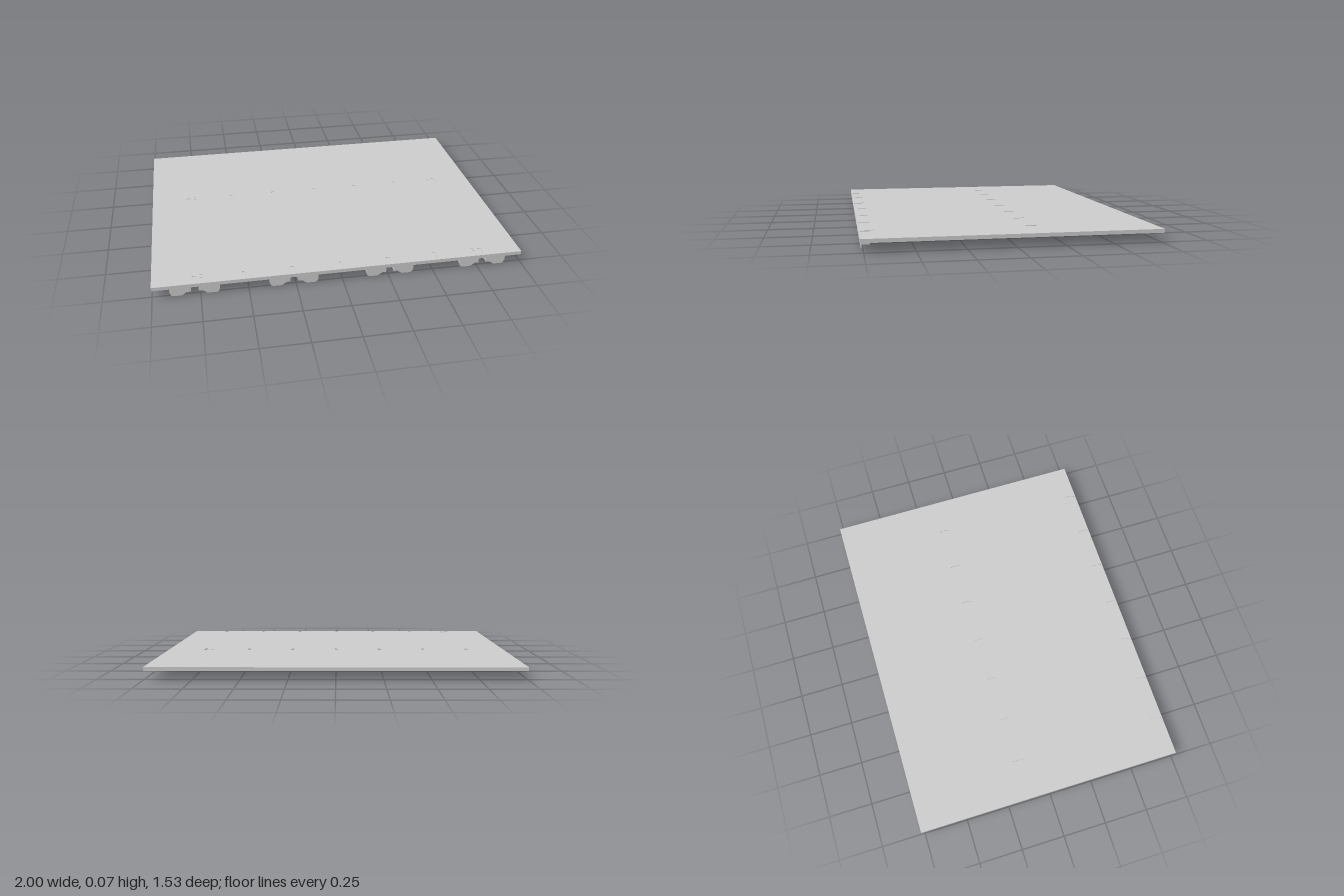
import * as THREE from 'three';

const W = 1, D = 0.767, TOP = 0.068, BOTTOM = 0.048, T = 0.004;
const material = new THREE.MeshStandardMaterial({ color: 0xcccccc });

function add(parent, name, geometry, x = 0, y = 0, z = 0) {
  const mesh = new THREE.Mesh(geometry, material);
  mesh.name = name;
  mesh.position.set(x, y, z);
  parent.add(mesh);
  return mesh;
}

function box(parent, name, x0, x1, y0, y1, z0, z1) {
  return add(parent, name, new THREE.BoxGeometry(x1 - x0, y1 - y0, z1 - z0),
    (x0 + x1) / 2, (y0 + y1) / 2, (z0 + z1) / 2);
}

// Closed rectangle in plan (shape y becomes z)
function rect(Type, x0, x1, z0, z1) {
  return new Type([[x0, z0], [x1, z0], [x1, z1], [x0, z1]].map(p => new THREE.Vector2(...p)));
}

// Flat sheet that hangs down from its own origin
function sheet(shape, depth) {
  return new THREE.ExtrudeGeometry(shape, { depth, bevelEnabled: false, curveSegments: 8 }).rotateX(Math.PI / 2);
}

// Slot with a rounded back end of radius r1 and front end of radius r2
function slot(x, zBack, zFront, r1, r2) {
  const path = new THREE.Path();
  path.absarc(x, zBack + r1, r1, Math.PI, 2 * Math.PI, false);
  if (r1 > r2) path.lineTo(x + r1, zBack + r1 * 2);
  path.absarc(x, zFront - r2, r2, 0, Math.PI, false);
  if (r1 > r2) path.lineTo(x - r1, zBack + r1 * 2);
  path.closePath();
  return path;
}

function rim(width) {
  const shape = rect(THREE.Shape, -W, W, -D, D);
  shape.holes.push(rect(THREE.Path, -W + width, W - width, -D + width, D - width));
  return shape;
}

// One hanging hook: stepped front plate with a bent side flange
function hook(side) {
  const group = new THREE.Group();
  group.name = 'hook';
  const outline = [[0.02, BOTTOM], [0.02, 0.018], [0.042, 0.018], [0.06, 0.004], [0.07, 0],
    [0.112, 0], [0.124, 0.006], [0.127, 0.018], [0.13, 0.022], [0.13, BOTTOM]];
  const shape = new THREE.Shape(outline.map(([x, y]) => new THREE.Vector2(x * side, y)));
  add(group, 'hookPlate', new THREE.ExtrudeGeometry(shape, { depth: 0.008, bevelEnabled: false }), 0, 0, 0.753);
  const range = (a, b) => side > 0 ? [a, b] : [-b, -a];
  box(group, 'hookFlange', ...range(0.02, 0.026), 0.022, BOTTOM, 0.71, 0.754);
  box(group, 'hookFoot', ...range(0.026, 0.075), 0.022, 0.027, 0.71, 0.754);
  box(group, 'hookOuterFlange', ...range(0.124, 0.13), 0.024, BOTTOM, 0.715, 0.754);
  return group;
}

export function createModel() {
  const model = new THREE.Group();
  model.name = 'shelfPanel';

  // Top sheet with two rows of keyholes, slots and small slits
  const top = rect(THREE.Shape, -W, W, -D, D);
  for (const z of [-0.157, 0.695]) {
    for (let i = -3; i <= 3; i++) {
      const keyhole = i % 2 !== 0;
      top.holes.push(slot(i * 0.26, z, z + 0.065, keyhole ? 0.012 : 0.008, keyhole ? 0.006 : 0.008));
    }
    for (const x of [-0.743, 0.743]) {
      for (const dz of [-0.007, 0.021]) {
        top.holes.push(rect(THREE.Path, x - 0.008, x + 0.008, z + dz, z + dz + 0.005));
      }
    }
  }
  add(model, 'topSheet', sheet(top, T), 0, TOP, 0);

  // Turned-down edge and its inward return lip
  add(model, 'edgeFlange', sheet(rim(T), TOP - BOTTOM - T), 0, TOP - T, 0);
  add(model, 'returnLip', sheet(rim(0.02), 0.003), 0, BOTTOM + 0.003, 0);

  // Closed stiffening channels below each row of holes
  for (const [z0, z1] of [[-0.215, -0.07], [0.635, 0.763]]) {
    const channel = new THREE.Group();
    channel.name = 'stiffener';
    model.add(channel);
    const x = W - 0.018;
    box(channel, 'stiffenerBase', -x, x, BOTTOM + 0.001, BOTTOM + 0.004, z0, z1);
    for (const z of [z0, z1 - T]) {
      box(channel, 'stiffenerWeb', -x, x, BOTTOM + 0.004, TOP - T, z, z + T);
    }
  }

  // Four mirrored pairs of hooks along the front
  for (const x of [-0.78, -0.26, 0.26, 0.78]) {
    const pair = new THREE.Group();
    pair.name = 'hookPair';
    pair.position.x = x;
    pair.add(hook(-1), hook(1));
    model.add(pair);
  }
  return model;
}
